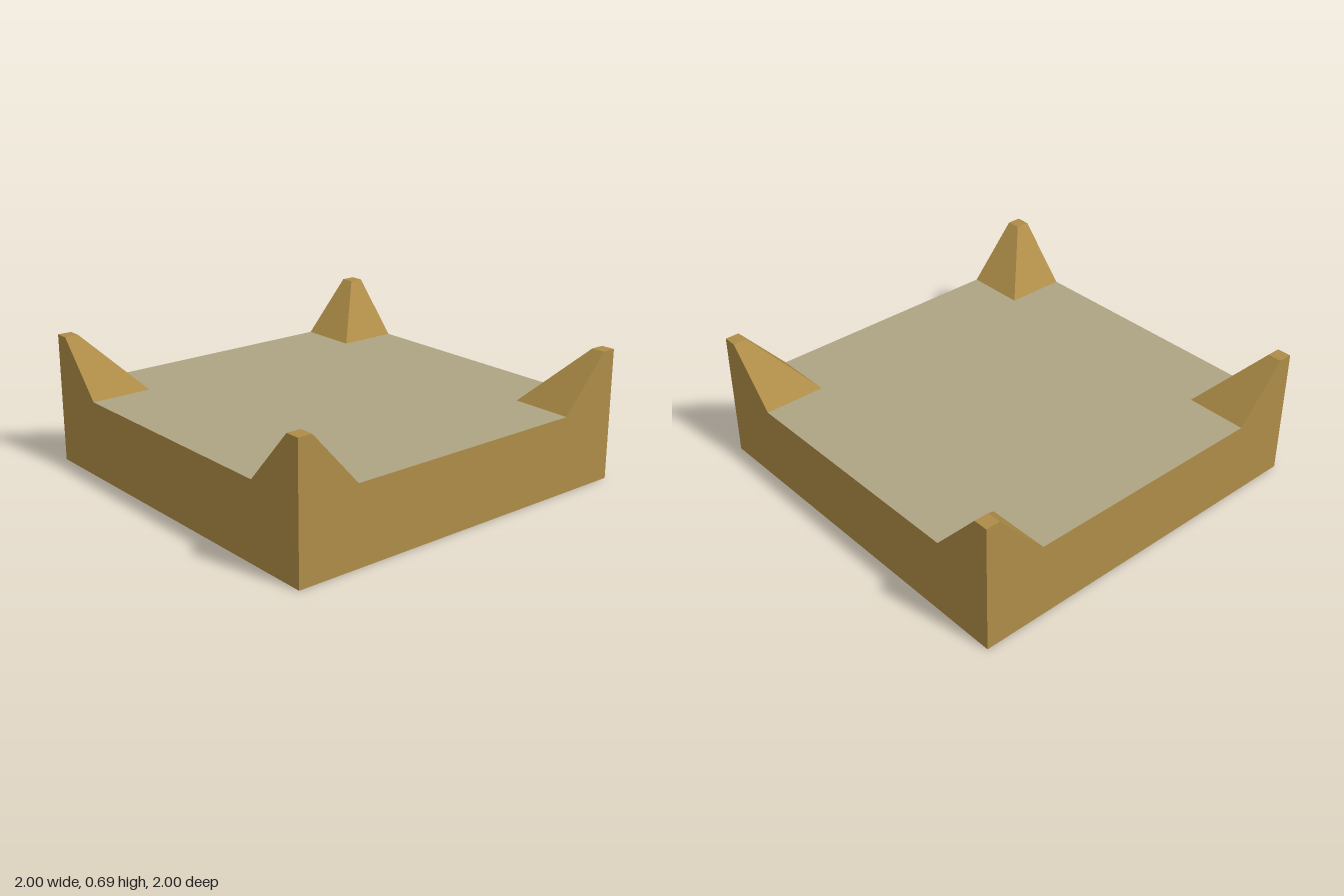
import * as THREE from 'three';

const FLOOR = 0.405; // deck height
const TOP = 0.69;    // spike height
const IN = 0.67;     // where a spike meets the deck
const CAP = 0.925;   // inner edge of the flat spike tip

const material = (name, color) => {
  const m = new THREE.MeshStandardMaterial({ color, side: THREE.DoubleSide });
  m.name = name;
  return m;
};

const shapeFrom = (points) => new THREE.Shape(points.map(([x, y]) => new THREE.Vector2(x, y)));

// Tip and two inner slopes of one corner spike, in the +x +z corner
function spikeGeometry() {
  const foot = [IN, FLOOR, IN], tip = [CAP, TOP, CAP];
  const quads = [
    [tip, [CAP, TOP, 1], [1, TOP, 1], [1, TOP, CAP]],
    [foot, [IN, FLOOR, 1], [CAP, TOP, 1], tip],
    [foot, tip, [1, TOP, CAP], [1, FLOOR, IN]],
  ];
  const positions = quads.flatMap(([a, b, c, d]) => [a, b, c, a, c, d].flat());
  const geometry = new THREE.BufferGeometry();
  geometry.setAttribute('position', new THREE.Float32BufferAttribute(positions, 3));
  geometry.computeVertexNormals();
  return geometry;
}

export function createModel() {
  const group = new THREE.Group();
  group.name = 'corneredTray';
  const brown = material('ochre brown', 0xad8c47);
  const stone = material('pale stone', 0xaea484);

  const add = (name, geometry, mat, turn = 0) => {
    const mesh = new THREE.Mesh(geometry, mat);
    mesh.name = name;
    mesh.rotation.y = turn;
    group.add(mesh);
  };

  // Deck with square openings under the hollow spikes
  const deck = new THREE.ShapeGeometry(shapeFrom([
    [-IN, -1], [IN, -1], [IN, -IN], [1, -IN], [1, IN], [IN, IN],
    [IN, 1], [-IN, 1], [-IN, IN], [-1, IN], [-1, -IN], [-IN, -IN],
  ]));
  deck.rotateX(-Math.PI / 2).translate(0, FLOOR, 0);
  add('deck', deck, stone);

  // Thin side walls rising into the spikes; the underside stays open
  const wall = new THREE.ShapeGeometry(shapeFrom([
    [-1, 0], [1, 0], [1, TOP], [CAP, TOP],
    [IN, FLOOR], [-IN, FLOOR], [-CAP, TOP], [-1, TOP],
  ]));
  wall.translate(0, 0, 1);
  const spike = spikeGeometry();

  const walls = ['frontWall', 'leftWall', 'backWall', 'rightWall'];
  const spikes = ['frontLeftSpike', 'backLeftSpike', 'backRightSpike', 'frontRightSpike'];
  for (let i = 0; i < 4; i++) {
    add(walls[i], wall, brown, i * Math.PI / 2);
    add(spikes[i], spike, brown, i * Math.PI / 2);
  }
  return group;
}
